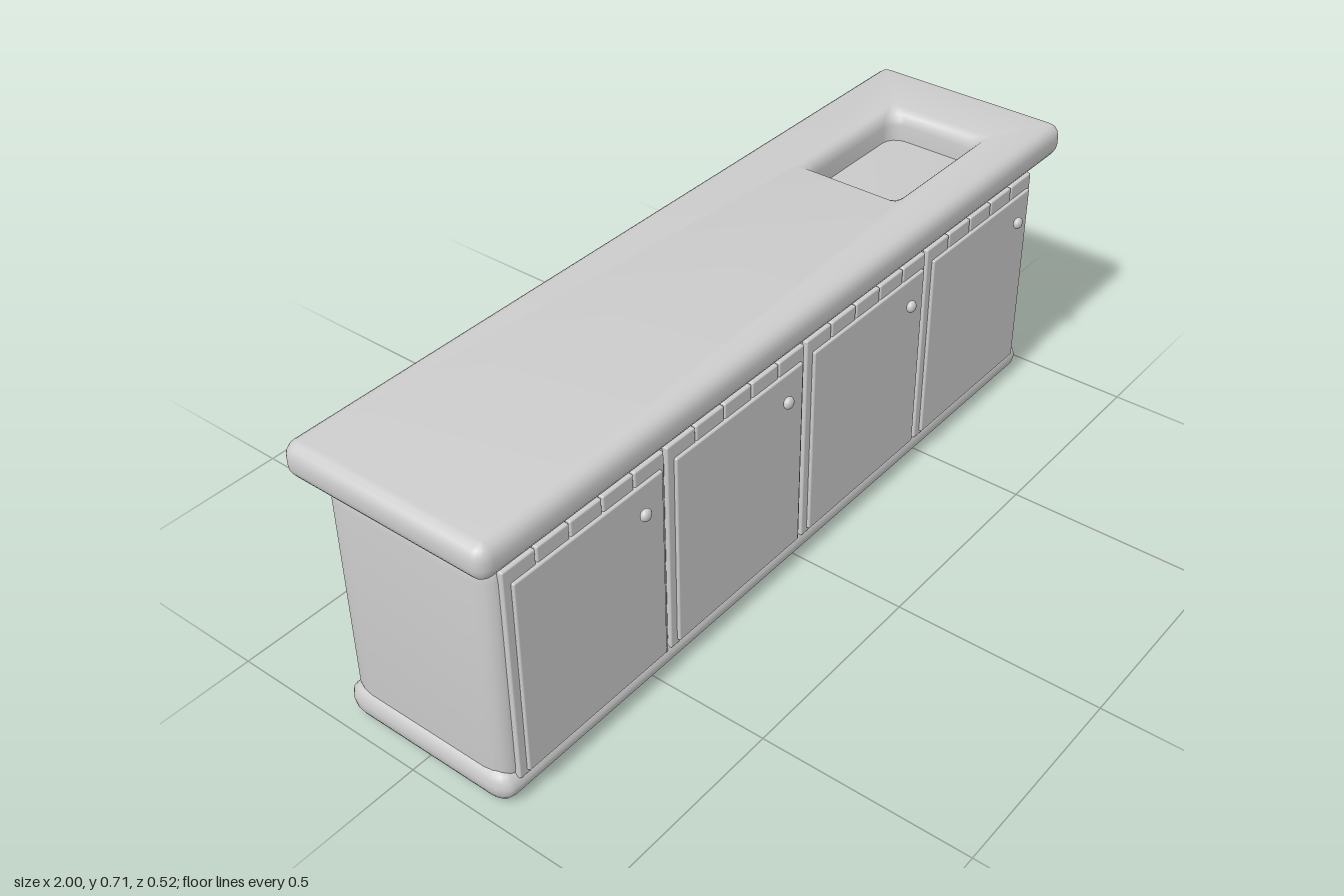
import * as THREE from 'three';
import { toCreasedNormals } from 'three/addons/utils/BufferGeometryUtils.js';
import { RoundedBoxGeometry } from 'three/addons/geometries/RoundedBoxGeometry.js';

const SEG = 4; // steps per rounded corner

// Horizontal rounded rectangle: half sizes w, d and corner radii rx, rz
function ring(y, w, d, rx, rz, cx = 0, cz = 0) {
  const points = [];
  [[1, 1], [-1, 1], [-1, -1], [1, -1]].forEach(([sx, sz], c) => {
    for (let i = 0; i <= SEG; i++) {
      const a = (c + i / SEG) * Math.PI / 2;
      points.push([cx + sx * (w - rx) + rx * Math.cos(a), y, cz - sz * (d - rz) - rz * Math.sin(a)]);
    }
  });
  return points;
}

// Skin a stack of rings; closed joins last to first, otherwise both ends are capped
function loft(rings, closed) {
  const pos = [];
  const n = rings[0].length;
  const tri = (...p) => p.forEach((v) => pos.push(...v));
  const last = closed ? rings.length : rings.length - 1;
  for (let k = 0; k < last; k++) {
    const lo = rings[k], hi = rings[(k + 1) % rings.length];
    for (let i = 0; i < n; i++) {
      const j = (i + 1) % n;
      tri(lo[i], lo[j], hi[j]);
      tri(lo[i], hi[j], hi[i]);
    }
  }
  if (!closed) {
    const bottom = rings[0], top = rings[rings.length - 1];
    for (let i = 1; i < n - 1; i++) {
      tri(top[0], top[i], top[i + 1]);
      tri(bottom[0], bottom[i + 1], bottom[i]);
    }
  }
  const geo = new THREE.BufferGeometry();
  geo.setAttribute('position', new THREE.Float32BufferAttribute(pos, 3));
  return toCreasedNormals(geo, 0.7);
}

// Rings of a block whose edges are rounded by rx, ry, rz
function pillow(y0, y1, w, d, rx, ry, rz) {
  const rings = [];
  for (const top of [false, true]) {
    for (let i = 0; i <= SEG; i++) {
      const a = (top ? i : SEG - i) / SEG * Math.PI / 2;
      const inset = 0.97 * (1 - Math.cos(a));
      const rise = ry * (1 - Math.sin(a));
      rings.push(ring(top ? y1 - rise : y0 + rise,
        w - rx * inset, d - rz * inset, rx * (1 - inset), rz * (1 - inset)));
    }
  }
  return rings;
}

export function createModel() {
  const model = new THREE.Group();
  const grey = new THREE.MeshStandardMaterial({ color: 0xcccccc });
  grey.name = 'light grey';

  function add(name, geo, x = 0, y = 0, z = 0, parent = model) {
    const mesh = new THREE.Mesh(geo, grey);
    mesh.name = name;
    mesh.position.set(x, y, z);
    parent.add(mesh);
    return mesh;
  }

  // Cabinet body and plinth
  add('cabinetBody', loft(pillow(0.02, 0.632, 0.953, 0.217, 0.035, 0.065, 0.06)));
  add('plinth', loft(pillow(0.002, 0.084, 0.965, 0.226, 0.03, 0.038, 0.05)));

  // Worktop with a flared basin opening, square at the rim and rounded inside
  const top = pillow(0.625, 0.707, 1, 0.26, 0.032, 0.032, 0.03);
  for (let i = 0; i <= SEG; i++) {
    const a = i / SEG * Math.PI / 2;
    const s = Math.sin(a);
    const r = 0.004 + 0.036 * s;
    top.push(ring(0.707 - 0.035 * (1 - Math.cos(a)), 0.2 - 0.026 * s, 0.143 - 0.024 * s, r, r, 0.63, 0.019));
  }
  top.push(ring(0.625, 0.174, 0.119, 0.04, 0.04, 0.63, 0.019));
  add('worktop', loft(top, true));

  // Four doors: five planks behind a raised panel, with a round knob
  const plank = new RoundedBoxGeometry(0.088, 0.533, 0.016, 2, 0.004);
  const panel = new RoundedBoxGeometry(0.422, 0.486, 0.016, 2, 0.004);
  const knob = new THREE.SphereGeometry(0.0145, 16, 12);
  for (let i = 0; i < 4; i++) {
    const door = new THREE.Group();
    door.name = 'door' + (i + 1);
    door.position.x = (i - 1.5) * 0.4635;
    model.add(door);
    for (let p = -2; p <= 2; p++) add('plank', plank, p * 0.0915, 0.3265, 0.2185, door);
    add('doorPanel', panel, 0.004, 0.314, 0.226, door);
    add('knob', knob, 0.139, 0.503, 0.252, door).scale.z = 0.7;
  }
  return model;
}
